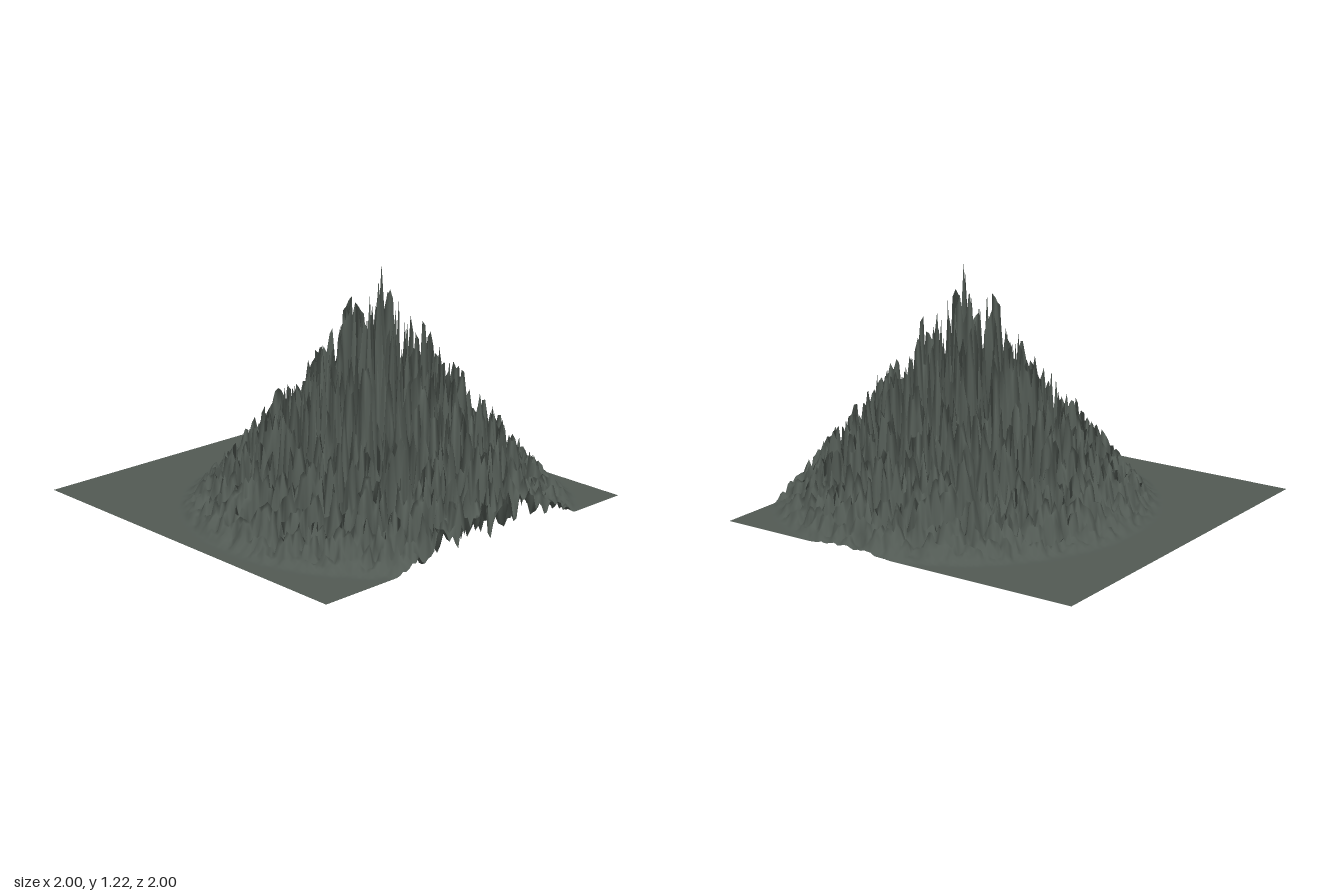
import * as THREE from 'three';

const { lerp, smoothstep } = THREE.MathUtils;
const SEGMENTS = 100;
const CENTER = { x: 0.06, z: 0.25 };
const RADIUS = 0.97;
const HEIGHT = 1.2;

// Needle-thin pinnacles around the summit: x, z, height
const PINNACLES = [
  [0.06, 0.26, 1.22], [0.02, 0.28, 1.15], [0.12, 0.18, 1.08], [-0.06, 0.3, 1.02],
  [0.16, 0.24, 1.02], [0.2, 0.32, 0.95], [0.04, 0.44, 0.94], [-0.18, 0.1, 0.84],
  [0.08, 0, 0.87], [0.28, 0.2, 0.82], [0.1, 0.1, 0.93], [-0.02, 0.22, 0.94],
];

// Repeatable pseudo-random value for a lattice point
function hash(i, j) {
  let n = Math.imul(i + 101, 374761393) ^ Math.imul(j + 211, 668265263);
  n = Math.imul(n ^ (n >>> 13), 1274126177);
  return ((n ^ (n >>> 16)) >>> 0) / 4294967295;
}

// Smoothly interpolated lattice noise, 0..1
function noise(x, z) {
  const i = Math.floor(x), j = Math.floor(z);
  const u = smoothstep(x - i, 0, 1), v = smoothstep(z - j, 0, 1);
  return lerp(
    lerp(hash(i, j), hash(i + 1, j), u),
    lerp(hash(i, j + 1), hash(i + 1, j + 1), u), v);
}

// Cone that fades to the plain, cut by deep gullies between steep spikes
function heightAt(x, z) {
  const d = Math.hypot(x - CENTER.x, z - CENTER.z) / RADIUS;
  if (d >= 1) return 0;
  // Lattices turned against the mesh so the spikes do not line up in rows
  const a = x * 0.8 - z * 0.6, b = x * 0.6 + z * 0.8;
  const rough = 0.5 * noise(a * 31, b * 31) + 0.5 * noise(b * 47 + 90, a * 47 + 90);
  let y = HEIGHT * (1 - d) ** 1.06 * (0.08 + 0.95 * smoothstep(rough, 0.12, 0.88));
  for (const [px, pz, h] of PINNACLES) {
    y = Math.max(y, h - 16 * Math.hypot(x - px, z - pz));
  }
  return y;
}

export function createModel() {
  const group = new THREE.Group();
  group.name = 'mountain';

  // Square ground sheet raised into a rugged peak
  const geometry = new THREE.PlaneGeometry(2, 2, SEGMENTS, SEGMENTS);
  geometry.rotateX(-Math.PI / 2);
  const position = geometry.attributes.position;
  for (let i = 0; i < position.count; i++) {
    position.setY(i, heightAt(position.getX(i), position.getZ(i)));
  }
  geometry.computeVertexNormals();

  const terrain = new THREE.Mesh(
    geometry,
    new THREE.MeshStandardMaterial({ color: 0x525a54, side: THREE.DoubleSide }));
  terrain.name = 'terrain';
  group.add(terrain);
  return group;
}
